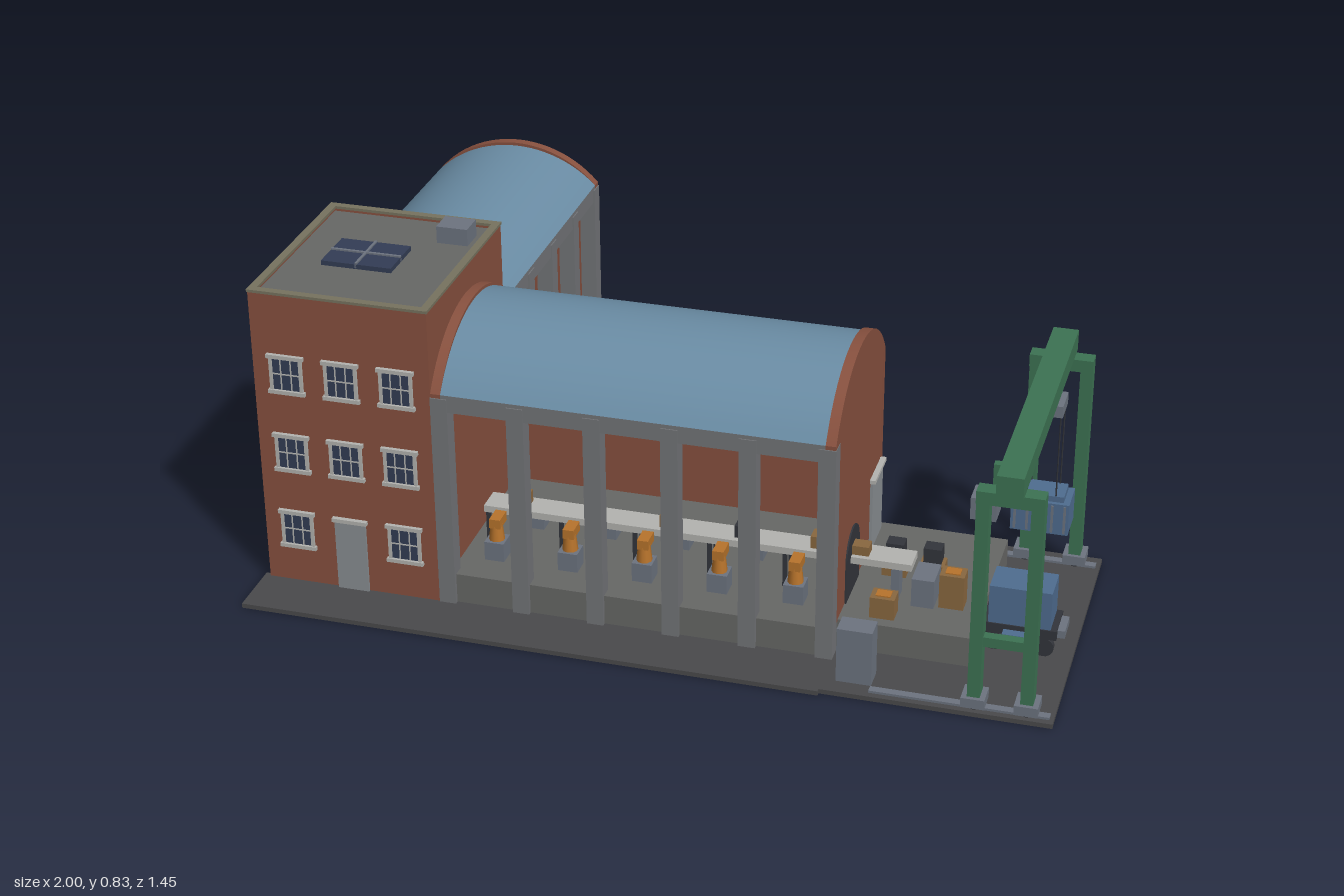
import * as THREE from 'three';
import { toCreasedNormals } from 'three/addons/utils/BufferGeometryUtils.js';

const mat = (color, side = THREE.FrontSide) => new THREE.MeshStandardMaterial({ color, side });
const M = {
  brick: mat(0x88513f), concrete: mat(0x737578), floor: mat(0x676866), ground: mat(0x4a4a4c),
  roof: mat(0x6a8ca4, THREE.DoubleSide), green: mat(0x3d7353), pale: mat(0xb4b4b0), glass: mat(0x333d55),
  door: mat(0x8a8f93), dark: mat(0x33353b), blue: mat(0x4f6d90), wood: mat(0x8a6840),
  orange: mat(0xb8742c), steel: mat(0x6d7480), trim: mat(0x77735f),
};

function add(parent, name, geo, m, x = 0, y = 0, z = 0) {
  const mesh = new THREE.Mesh(geo, M[m]);
  mesh.name = name;
  mesh.position.set(x, y, z);
  parent.add(mesh);
  return mesh;
}
// box from its minimum and maximum corners
function box(parent, name, m, x0, x1, y0, y1, z0, z1) {
  return add(parent, name, new THREE.BoxGeometry(x1 - x0, y1 - y0, z1 - z0), m,
    (x0 + x1) / 2, (y0 + y1) / 2, (z0 + z1) / 2);
}
function group(parent, name, x = 0, y = 0, z = 0) {
  const g = new THREE.Group();
  g.name = name;
  g.position.set(x, y, z);
  parent.add(g);
  return g;
}
// points of a circular arc spanning -w..w and rising by h above y
function arc(w, y, h, n = 24) {
  const r = (w * w + h * h) / (2 * h), a = Math.asin(w / r), pts = [];
  for (let i = 0; i <= n; i++) {
    const t = -a + (2 * a * i) / n;
    pts.push(new THREE.Vector2(r * Math.sin(t), y + h - r + r * Math.cos(t)));
  }
  return pts;
}
// profile in the zy plane, extruded along x from x0 to x1
function extrudeX(pts, x0, x1) {
  const geo = new THREE.ExtrudeGeometry(new THREE.Shape(pts), { depth: x1 - x0, bevelEnabled: false });
  return toCreasedNormals(geo.rotateY(Math.PI / 2).translate(x0, 0, 0), 0.5);
}
const archBand = (w, y, h, t) => [...arc(w, y, h), ...arc(w - t, y, h - t).reverse()];

// vaulted hall: ridge along x, open bays facing +z
function hall(parent, name, { len, w, rise, bays, base, ends, lineZ, lineEnd }) {
  const g = group(parent, name), L = len / 2, spring = 0.585;
  box(g, 'floorSlab', 'floor', -L, L, 0.01, 0.09, -w, w - 0.008);
  box(g, 'backWall', 'brick', -L, L, base, spring, -w, -w + 0.02);
  const roof = add(g, 'vaultRoof', extrudeX(archBand(w, spring, rise, 0.012), -L + 0.01, L - 0.01), 'roof');
  roof.castShadow = true;
  for (const s of ends) {
    const x0 = s > 0 ? L - 0.025 : -L;
    const low = w - 0.03;
    add(g, 'gableWall', extrudeX([...arc(w, spring, rise + 0.008),
      new THREE.Vector2(low, spring), new THREE.Vector2(low, base),
      new THREE.Vector2(-w, base)], x0, x0 + 0.025), 'brick');
    // return of the gable behind the corner pillar, on both ends of the profile
    box(g, 'gableCorner', 'brick', x0, x0 + 0.024, base, spring, -w, w - 0.005);
  }
  box(g, 'lintel', 'concrete', -L, L, 0.54, spring, w - 0.04, w);
  const pitch = (len - 0.04) / bays;
  for (let i = 0; i <= bays; i++) {
    const x = -L + 0.02 + i * pitch;
    box(g, 'pillar', 'concrete', x - 0.021, x + 0.021, 0.012, 0.575, w - 0.04, w + 0.003);
    if (i > 0 && i < bays)
      add(g, 'roofRib', extrudeX(archBand(w - 0.012, spring, rise - 0.012, 0.02), x - 0.008, x + 0.008), 'roof');
  }
  // assembly line
  const line = group(g, 'conveyorLine', 0, 0, lineZ);
  box(line, 'belt', 'pale', -L + 0.06, lineEnd, 0.18, 0.198, -0.035, 0.035);
  for (let i = 0; i < bays; i++) {
    const x = -L + 0.11 + i * pitch;
    for (const z of [-0.03, 0.03]) box(line, 'beltLeg', 'dark', x - 0.045, x - 0.035, 0.09, 0.18, z - 0.005, z + 0.005);
    box(line, 'machineBase', 'steel', x - 0.025, x + 0.025, 0.09, 0.14, 0.06, 0.11);
    add(line, 'machineArm', new THREE.CylinderGeometry(0.015, 0.02, 0.045, 10), 'orange', x, 0.16, 0.085);
    box(line, 'machineHead', 'orange', x - 0.014, x + 0.014, 0.175, 0.2, 0.05, 0.1);
    box(line, 'machineBaseRear', 'steel', x + 0.025, x + 0.07, 0.09, 0.15, -0.11, -0.065);
    box(line, 'load', i % 2 ? 'dark' : 'wood', x + 0.02, x + 0.06, 0.198, 0.23, -0.02, 0.02);
  }
  return g;
}

function sashWindow(parent, x, y) {
  const g = group(parent, 'window', x, y, 0.58);
  box(g, 'glass', 'glass', -0.038, 0.038, -0.045, 0.045, -0.005, 0.003);
  for (const s of [-1, 1]) {
    box(g, 'jamb', 'pale', s * 0.038 - 0.004, s * 0.038 + 0.004, -0.048, 0.048, 0, 0.007);
    box(g, 'sillOrHead', 'pale', -0.047, 0.047, s * 0.047 - 0.005, s * 0.047 + 0.005, 0, 0.01);
    box(g, 'mullion', 'pale', s * 0.013 - 0.0015, s * 0.013 + 0.0015, -0.045, 0.045, 0, 0.005);
  }
  box(g, 'crossBar', 'pale', -0.038, 0.038, -0.0015, 0.0015, 0, 0.005);
}

function tower(parent) {
  const g = group(parent, 'officeTower');
  box(g, 'towerBody', 'brick', -0.985, -0.535, 0.005, 0.785, 0.055, 0.58);
  for (const x of [-0.985, -0.55]) box(g, 'parapetSide', 'brick', x, x + 0.015, 0.785, 0.795, 0.055, 0.58);
  for (const z of [0.055, 0.565]) box(g, 'parapetEnd', 'brick', -0.97, -0.55, 0.785, 0.795, z, z + 0.015);
  for (const x of [-0.987, -0.553]) box(g, 'copingSide', 'trim', x, x + 0.02, 0.795, 0.802, 0.053, 0.582);
  for (const z of [0.053, 0.562]) box(g, 'copingEnd', 'trim', -0.967, -0.553, 0.795, 0.802, z, z + 0.02);
  box(g, 'roofDeck', 'floor', -0.97, -0.55, 0.784, 0.788, 0.07, 0.565);
  box(g, 'roofVent', 'steel', -0.655, -0.575, 0.786, 0.832, 0.12, 0.185);
  box(g, 'skylight', 'glass', -0.88, -0.7, 0.786, 0.8, 0.245, 0.38);
  box(g, 'skylightBar', 'steel', -0.88, -0.7, 0.79, 0.804, 0.309, 0.316);
  box(g, 'skylightBar', 'steel', -0.793, -0.787, 0.79, 0.804, 0.245, 0.38);
  for (const [row, y] of [0.16, 0.373, 0.587].entries())
    for (const [col, x] of [-0.9, -0.76, -0.62].entries())
      if (row || col !== 1) sashWindow(g, x, y);
  box(g, 'entranceDoor', 'door', -0.8, -0.72, 0.01, 0.2, 0.575, 0.587);
  box(g, 'doorHead', 'pale', -0.805, -0.715, 0.2, 0.21, 0.575, 0.592);
}

function dock(parent) {
  const g = group(parent, 'loadingDock');
  box(g, 'dockSlab', 'floor', 0.45, 0.775, 0.01, 0.09, 0.05, 0.525);
  const portal = [...arc(0.0685, 0.197, 0.068), new THREE.Vector2(0.0685, 0.09), new THREE.Vector2(-0.0685, 0.09)];
  add(g, 'archPortal', extrudeX(portal, 0.445, 0.454), 'dark', 0, 0, 0.384);
  box(g, 'sideDoor', 'door', 0.445, 0.457, 0.09, 0.28, 0.075, 0.19);
  box(g, 'sideDoorHead', 'pale', 0.445, 0.464, 0.28, 0.29, 0.07, 0.197);
  box(g, 'beltEndStand', 'steel', 0.55, 0.57, 0.09, 0.18, 0.355, 0.395);
  box(g, 'dockMachine', 'steel', 0.605, 0.66, 0.09, 0.165, 0.335, 0.42);
  box(g, 'beltCrate', 'wood', 0.45, 0.495, 0.198, 0.222, 0.365, 0.4);
  for (const [x, z, h] of [[0.537, 0.275, 0.045], [0.63, 0.275, 0.045], [0.7, 0.385, 0.09], [0.55, 0.472, 0.055]]) {
    box(g, 'crate', 'wood', x - 0.03, x + 0.03, 0.09, 0.09 + h, z - 0.024, z + 0.024);
    box(g, 'crateLid', 'orange', x - 0.018, x + 0.018, 0.09 + h, 0.093 + h, z - 0.014, z + 0.014);
  }
  for (const x of [0.537, 0.63]) box(g, 'stackedCrate', 'dark', x - 0.022, x + 0.022, 0.138, 0.178, 0.256, 0.294);
  box(g, 'yardCabinet', 'steel', 0.48, 0.565, 0.01, 0.155, 0.61, 0.667);
}

function crane(parent) {
  const g = group(parent, 'gantryCrane');
  box(g, 'mainBeam', 'green', 0.843, 0.905, 0.592, 0.645, -0.045, 0.72);
  for (const z of [0.686, -0.008]) {
    box(g, 'rail', 'steel', 0.565, 0.99, 0.01, 0.018, z - 0.01, z + 0.01);
    box(g, 'topTie', 'green', 0.797, 0.952, 0.56, 0.592, z - 0.02, z + 0.02);
    box(g, 'midTie', 'green', 0.81, 0.94, 0.185, 0.21, z - 0.012, z + 0.012);
    for (const x of [0.813, 0.937]) {
      box(g, 'leg', 'green', x - 0.015, x + 0.015, 0.04, 0.575, z - 0.02, z + 0.02);
      box(g, 'foot', 'steel', x - 0.028, x + 0.028, 0.025, 0.05, z - 0.03, z + 0.03);
      const wheel = add(g, 'craneWheel', new THREE.CylinderGeometry(0.015, 0.015, 0.03, 14), 'dark', x, 0.028, z);
      wheel.rotation.x = Math.PI / 2;
    }
  }
  box(g, 'operatorCabin', 'steel', 0.77, 0.83, 0.465, 0.52, 0.55, 0.613);
  box(g, 'cabinBracket', 'green', 0.815, 0.845, 0.515, 0.6, 0.57, 0.59);
  // trolley and hanging container
  box(g, 'trolley', 'steel', 0.835, 0.915, 0.545, 0.575, 0.15, 0.23);
  box(g, 'trolleyHanger', 'dark', 0.855, 0.895, 0.575, 0.595, 0.17, 0.21);
  for (const x of [0.84, 0.91]) for (const z of [0.157, 0.222])
    add(g, 'cable', new THREE.CylinderGeometry(0.002, 0.002, 0.23, 6), 'dark', x, 0.435, z);
  box(g, 'hangingContainer', 'blue', 0.805, 0.945, 0.232, 0.315, 0.145, 0.235);
  box(g, 'containerLid', 'blue', 0.82, 0.93, 0.315, 0.33, 0.155, 0.225);
  for (let i = 0; i < 5; i++) {
    const x = 0.815 + i * 0.03;
    box(g, 'containerRib', 'steel', x - 0.003, x + 0.003, 0.237, 0.31, 0.142, 0.238);
  }
}

function wagon(parent) {
  const g = group(parent, 'wagon', 0.87, 0, 0.385);
  box(g, 'wagonBed', 'dark', -0.09, 0.09, 0.06, 0.085, -0.05, 0.05);
  box(g, 'wagonBox', 'blue', -0.075, 0.075, 0.085, 0.185, -0.047, 0.047);
  for (const s of [-1, 1]) {
    box(g, 'sideStep', 'blue', -0.035, 0.035, 0.042, 0.08, s * 0.073 - 0.012, s * 0.073 + 0.012);
    box(g, 'stepBracket', 'dark', -0.03, 0.03, 0.06, 0.07, s * 0.055 - 0.015, s * 0.055 + 0.015);
    box(g, 'bumper', 'steel', s * 0.098 - 0.01, s * 0.098 + 0.01, 0.06, 0.08, -0.035, 0.035);
    for (const x of [-0.06, 0.06]) {
      const wheel = add(g, 'wagonWheel', new THREE.CylinderGeometry(0.025, 0.025, 0.016, 16), 'dark', x, 0.036, s * 0.04);
      wheel.rotation.x = Math.PI / 2;
    }
  }
}

export function createModel() {
  const model = new THREE.Group();
  model.name = 'factory';
  box(model, 'frontPavement', 'ground', -1, 0.45, 0, 0.012, 0.57, 0.722);
  box(model, 'yard', 'ground', 0.45, 1, 0, 0.012, -0.05, 0.712);
  tower(model);
  const east = hall(model, 'eastHall', { len: 0.985, w: 0.2625, rise: 0.135, bays: 5, base: 0.085, ends: [-1, 1], lineZ: 0.06, lineEnd: 0.645 });
  east.position.set(-0.0425, 0, 0.3175);
  const north = hall(model, 'northHall', { len: 0.782, w: 0.225, rise: 0.093, bays: 4, base: 0.01, ends: [1], lineZ: 0.02, lineEnd: 0.33 });
  north.position.set(-0.7575, 0, -0.336);
  north.rotation.y = Math.PI / 2;
  dock(model);
  crane(model);
  wagon(model);
  return model;
}
